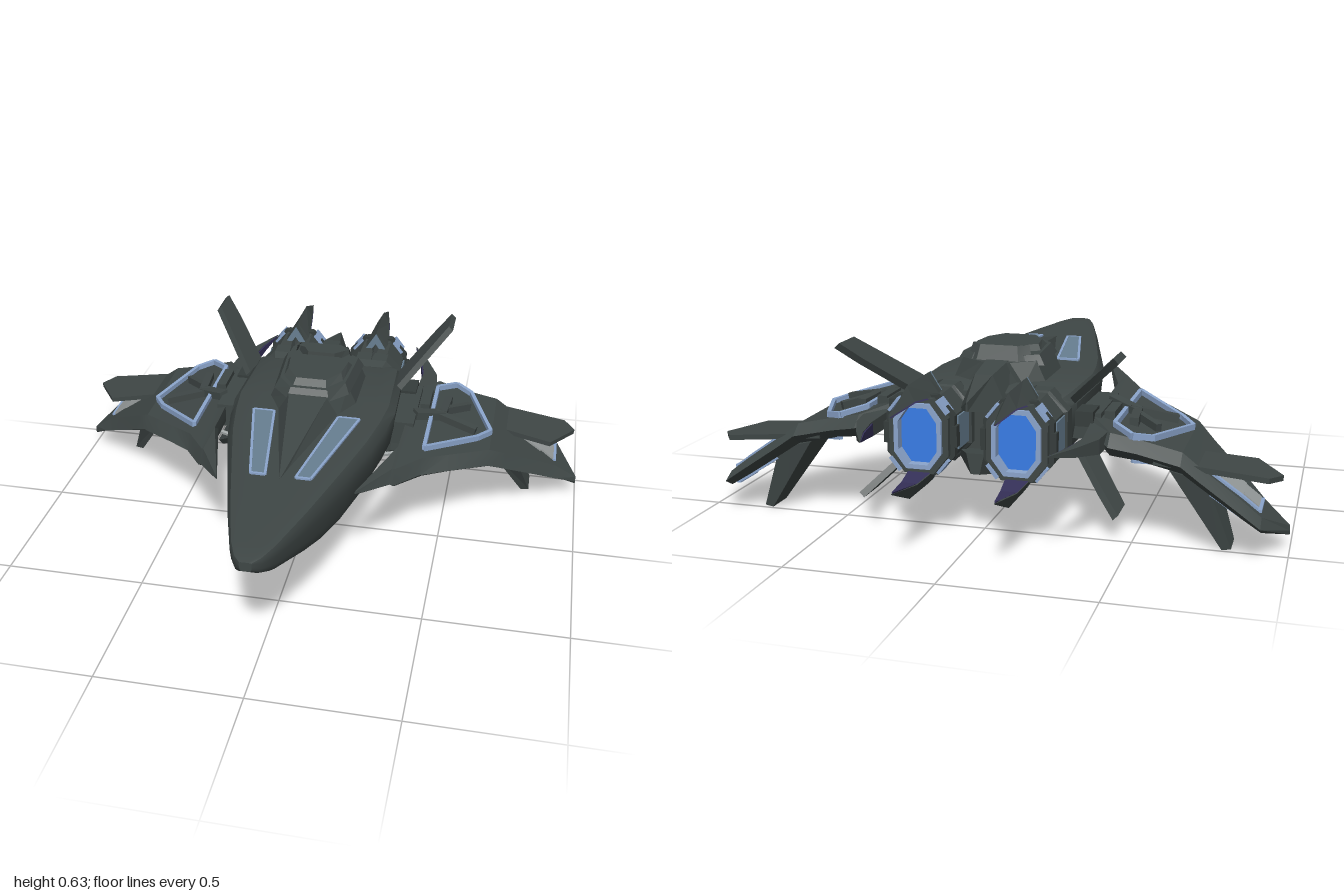
import * as THREE from 'three';
import { toCreasedNormals } from 'three/addons/utils/BufferGeometryUtils.js';

const mat = (name, color) => {
  const m = new THREE.MeshStandardMaterial({ color });
  m.name = name;
  return m;
};
const V = (x, y, z) => new THREE.Vector3(x, y, z);

// Make triangles of a closed solid face outward, then set crisp or creased normals
function finish(geo, crease = 0.1) {
  const g = geo.index ? geo.toNonIndexed() : geo;
  const p = g.attributes.position, a = V(), b = V(), c = V(), o = V();
  o.fromBufferAttribute(p, 0);
  let vol = 0;
  for (let i = 0; i < p.count; i += 3) {
    a.fromBufferAttribute(p, i).sub(o);
    b.fromBufferAttribute(p, i + 1).sub(o);
    c.fromBufferAttribute(p, i + 2).sub(o);
    vol += a.dot(b.cross(c));
  }
  if (vol < 0) {
    for (let i = 0; i < p.count; i += 3) {
      b.fromBufferAttribute(p, i + 1);
      c.fromBufferAttribute(p, i + 2);
      p.setXYZ(i + 1, c.x, c.y, c.z);
      p.setXYZ(i + 2, b.x, b.y, b.z);
    }
  }
  g.deleteAttribute('normal');
  g.deleteAttribute('uv');
  return toCreasedNormals(g, crease);
}

// Closed solid through rings of equal point count
function loft(rings) {
  const n = rings[0].length, pos = rings.flat(2), idx = [];
  for (let r = 0; r < rings.length - 1; r++) {
    for (let i = 0; i < n; i++) {
      const j = (i + 1) % n, a = r * n + i, b = r * n + j;
      idx.push(a, b, b + n, a, b + n, a + n);
    }
  }
  const e = (rings.length - 1) * n;
  for (let i = 1; i < n - 1; i++) idx.push(0, i + 1, i, e, e + i, e + i + 1);
  const g = new THREE.BufferGeometry();
  g.setAttribute('position', new THREE.Float32BufferAttribute(pos, 3));
  g.setIndex(idx);
  return g;
}

// Flat polygon of given thickness in any plane
function plate(pts, depth, xAxis, yAxis, origin) {
  const s = new THREE.Shape(pts.map(([a, b]) => new THREE.Vector2(a, b)));
  const g = new THREE.ExtrudeGeometry(s, { depth, bevelEnabled: false });
  const z = xAxis.clone().cross(yAxis);
  return g.applyMatrix4(new THREE.Matrix4().makeBasis(xAxis, yAxis, z).setPosition(origin));
}
// Horizontal polygon given as x, z
const planPlate = (pts, y, depth, slope = 0) =>
  plate(pts.map(([x, z]) => [x, -z]), depth, V(1, slope, 0), V(0, 0, -1), V(0, y, 0));

const box = (x, y, z, w, h, d) => new THREE.BoxGeometry(w, h, d).translate(x, y, z);

// Bar running from a to b
function bar(a, b, w, h) {
  const m = new THREE.Matrix4().lookAt(a, b, V(0, 1, 0)).setPosition(a.clone().lerp(b, 0.5));
  return new THREE.BoxGeometry(w, h, a.distanceTo(b)).applyMatrix4(m);
}

export function createModel() {
  const root = new THREE.Group();
  const hullMat = mat('hull charcoal', 0x3f4746);
  const darkMat = mat('dark charcoal', 0x353c3b);
  const slateMat = mat('slate panel', 0x687f92);
  const trimMat = mat('pale blue trim', 0x8ba5cc);
  const glowMat = mat('engine blue', 0x3f8aff);
  const violetMat = mat('dark violet', 0x36315a);
  const greyMat = mat('light grey', 0x979c9c);

  const add = (name, geo, m, crease) => {
    const mesh = new THREE.Mesh(finish(geo, crease), m);
    mesh.name = name;
    root.add(mesh);
  };
  const pair = (name, geo, m, crease) => {
    add(name + 'Left', geo.clone(), m, crease);
    add(name + 'Right', geo.clone().scale(-1, 1, 1), m, crease);
  };

  // Fuselage: z, half width, top, bottom
  const half = [[0.45, 1], [0.75, 0.985], [0.92, 0.95], [1, 0.82], [0.99, 0.6], [0.95, 0.3], [0.87, 0.1], [0.66, 0]];
  const hull = [[0.928, 0.02, 0.485, 0.452], [0.9, 0.045, 0.489, 0.43], [0.83, 0.075, 0.49, 0.39],
    [0.63, 0.135, 0.49, 0.318], [0.5, 0.17, 0.49, 0.277], [0.35, 0.21, 0.49, 0.252], [0.15, 0.262, 0.49, 0.25],
    [0, 0.29, 0.49, 0.25], [-0.12, 0.305, 0.49, 0.25], [-0.42, 0.295, 0.49, 0.25], [-0.47, 0.27, 0.475, 0.265]];
  add('fuselage', loft(hull.map(([z, w, t, b]) => {
    const side = half.map(([u, v]) => [u * w, b + v * (t - b), z]);
    return [...side, ...side.map(([x, y, q]) => [-x, y, q]).reverse()];
  })), hullMat, 0.7);

  // Raised spine and belly keel: z, foot half width, ridge half width, foot, ridge
  const ridge = (list) => loft(list.map(([z, w, v, y0, y1]) => [[w, y0, z], [v, y1, z], [-v, y1, z], [-w, y0, z]]));
  add('spine', ridge([[0.46, 0.005, 0.002, 0.48, 0.491], [0, 0.115, 0.07, 0.48, 0.553], [-0.1, 0.165, 0.13, 0.48, 0.556],
    [-0.32, 0.165, 0.13, 0.48, 0.556], [-0.37, 0.1, 0.05, 0.48, 0.555]]), hullMat);
  add('tailSpine', ridge([[-0.33, 0.1, 0.04, 0.47, 0.56], [-0.5, 0.085, 0.03, 0.42, 0.54], [-0.68, 0.004, 0.002, 0.46, 0.49]]), hullMat);
  add('keel', ridge([[0.2, 0.05, 0.03, 0.27, 0.249], [-0.08, 0.13, 0.08, 0.27, 0.19], [-0.42, 0.13, 0.08, 0.27, 0.19],
    [-0.6, 0.03, 0.015, 0.3, 0.23]]), hullMat);

  // Canopy: faceted block with a rear housing
  const oct = (y, w, zf, zb) => [[w * 0.5, zf], [w * 0.9, zf - 0.07], [w, zb + 0.03], [w * 0.65, zb]]
    .flatMap((p, i, a) => (i < 3 ? [p] : [p, ...a.map(([x, z]) => [-x, z]).reverse()])).map(([x, z]) => [x, y, z]);
  add('canopyBase', loft([oct(0.54, 0.155, 0, -0.34), oct(0.575, 0.135, -0.02, -0.33)]), hullMat);
  add('canopyTop', loft([oct(0.57, 0.125, -0.03, -0.27), oct(0.595, 0.11, -0.06, -0.25)]), hullMat);
  add('canopyHousing', loft([oct(0.55, 0.115, -0.25, -0.35), oct(0.606, 0.1, -0.255, -0.33)]), hullMat);

  // Nose panels with trim, and belly panels
  const nose = [[0.118, 0.025], [0.195, 0.025], [0.103, 0.45], [0.052, 0.45]];
  pair('nosePanel', planPlate(nose, 0.487, 0.009), slateMat);
  nose.forEach(([x, z], i) => {
    const [x2, z2] = nose[(i + 1) % 4];
    pair('nosePanelTrim' + i, bar(V(x, 0.494, z), V(x2, 0.494, z2), 0.009, 0.007), trimMat);
  });
  pair('bellyPanel', planPlate([[0.12, 0.08], [0.17, 0.08], [0.195, -0.1], [0.195, -0.38], [0.11, -0.38]], 0.245, 0.008), slateMat);

  // Wings: x, front z, back z, top, thickness
  const stations = [[0.24, 0.39, 0.38, 0.42, 0.01], [0.34, 0.245, 0, 0.41, 0.06], [0.35, 0.235, -0.46, 0.405, 0.07],
    [0.43, 0.11, -0.58, 0.385, 0.075], [0.52, 0.035, -0.565, 0.365, 0.07], [0.66, -0.08, -0.57, 0.335, 0.07],
    [0.72, -0.14, -0.575, 0.29, 0.065], [0.85, -0.262, -0.585, 0.2, 0.06], [0.915, -0.322, -0.59, 0.15, 0.05],
    [0.997, -0.4, -0.415, 0.085, 0.03]];
  pair('wing', loft(stations.map(([x, f, b, y, t]) => {
    const i = Math.min(0.045, (f - b) * 0.35);
    return [[x, y - t * 0.6, f], [x, y, f - i], [x, y, b + i], [x, y - t * 0.5, b], [x, y - t, b + i], [x, y - t, f - i]];
  })), hullMat, 0.3);
  // Point on the wing: lift above the top skin, or under = 1 for the bottom skin
  const onWing = (x, z, lift, under = 0) => {
    const k = Math.max(1, stations.findIndex((s) => s[0] >= x)), a = stations[k - 1], b = stations[k];
    const u = (x - a[0]) / (b[0] - a[0]), mix = (i) => a[i] + (b[i] - a[i]) * u;
    return V(x, mix(3) - under * mix(4) + lift, z);
  };
  const trim = [[0.43, 0.01], [0.43, -0.46], [0.5, -0.53], [0.56, -0.49], [0.655, -0.24], [0.61, -0.17], [0.43, 0.01]];
  for (let i = 0; i < 6; i++) {
    pair('wingTrim' + i, bar(onWing(...trim[i], 0.008), onWing(...trim[i + 1], 0.008), 0.014, 0.022), trimMat);
    if (i > 1) pair('wingUnderTrim' + i, bar(onWing(...trim[i], -0.003, 1), onWing(...trim[i + 1], -0.003, 1), 0.014, 0.009), trimMat);
  }

  // Branched fittings on top of the wings
  [[0.37, -0.2, 0.47, -0.26, 0.04], [0.44, -0.25, 0.6, -0.21, 0.03], [0.47, -0.26, 0.48, -0.39, 0.03],
    [0.48, -0.3, 0.56, -0.38, 0.022], [0.4, -0.27, 0.4, -0.4, 0.035]].forEach(([x, z, x2, z2, w], i) =>
    pair('wingFitting' + i, bar(onWing(x, z, 0.012), onWing(x2, z2, 0.012), w, 0.03), hullMat));

  // Wing roots and curved braces underneath
  pair('wingRoot', box(0.325, 0.37, -0.27, 0.1, 0.09, 0.3), hullMat);
  pair('wingRootBlock', box(0.325, 0.4, -0.4, 0.06, 0.05, 0.1), darkMat);
  pair('wingBrace', new THREE.TubeGeometry(new THREE.CatmullRomCurve3(
    [V(0.26, 0.28, -0.1), V(0.36, 0.295, -0.12), V(0.47, 0.298, -0.16), V(0.57, 0.28, -0.2)]), 12, 0.009, 6), greyMat, 0.9);

  // Rear wing spikes with violet inner edge
  const quad = (z, x0, x1, y0, y1) => [[x0, y0, z], [x1, y0, z], [x1, y1, z], [x0, y1, z]];
  pair('wingSpike', loft([quad(-0.42, 0.345, 0.43, 0.335, 0.39), quad(-0.6, 0.357, 0.41, 0.33, 0.38),
    quad(-0.72, 0.336, 0.36, 0.35, 0.38), quad(-0.83, 0.299, 0.301, 0.377, 0.38)]), hullMat);
  pair('wingSpikeEdge', loft([quad(-0.6, 0.352, 0.358, 0.335, 0.376), quad(-0.72, 0.331, 0.337, 0.352, 0.378),
    quad(-0.82, 0.3, 0.304, 0.375, 0.379)]), violetMat);

  // Forked wing tips: upper blade, lower blade, and grilles on both skins
  pair('upperTipBlade', planPlate([[0.62, -0.37], [0.88, -0.325], [0.97, -0.46], [0.93, -0.52], [0.57, -0.55]], 0.36, 0.018, -0.115), hullMat);
  pair('lowerTipBlade', loft([
    [[0.62, 0.27, -0.3], [0.74, 0.24, -0.3], [0.74, 0.24, -0.52], [0.62, 0.27, -0.52]],
    [[0.79, 0.01, -0.39], [0.82, 0.015, -0.39], [0.82, 0.015, -0.49], [0.79, 0.01, -0.49]]]), hullMat);
  for (const under of [0, 1]) {
    const n = under ? 'under' : 'upper', l = under ? -0.003 : 0.003;
    [0.75, 0.85, 0.9].forEach((x, i, xs) => {
      if (i === 0) return;
      const w = i === 1 ? 0.12 : 0.1;
      pair(n + 'TipGrille' + i, bar(onWing(xs[i - 1], -0.44, l, under), onWing(x, -0.44, l, under), w, 0.009), greyMat);
      pair(n + 'TipTrim' + i, bar(onWing(xs[i - 1], -0.51, l, under), onWing(x, -0.51, l, under), 0.018, 0.0095), trimMat);
    });
    pair(n + 'TipTrimEnd', bar(onWing(0.905, -0.39, l, under), onWing(0.905, -0.518, l, under), 0.016, 0.009), trimMat);
  }

  // Four diagonal fins, the lower ones set further forward
  const fin = [[0, -0.29], [0.235, -0.5], [0.235, -0.62], [0.15, -0.565], [-0.02, -0.43]];
  for (const s of [1, -1]) {
    const c = Math.SQRT1_2;
    pair(s > 0 ? 'upperFin' : 'lowerFin',
      plate(fin, 0.024, V(c, s * c, 0), V(0, 0, 1), V(0.287, 0.37 + s * 0.107, s > 0 ? 0 : 0.12)), hullMat);
  }

  // Engines: tall octagonal nacelles with hollow nozzles
  const cx = 0.163, cy = 0.37;
  const ring8 = (w, h) => [[w, h * 0.5], [w * 0.5, h], [-w * 0.5, h], [-w, h * 0.5], [-w, -h * 0.5], [-w * 0.5, -h], [w * 0.5, -h], [w, -h * 0.5]];
  const nacelle = (list) => loft(list.map(([z, w, h]) => ring8(w, h).map(([x, y]) => [cx + x, cy + y, z])));
  const collar = (w, h, t, z, depth) => {
    const s = new THREE.Shape(ring8(w, h).map((p) => new THREE.Vector2(...p)));
    s.holes.push(new THREE.Path(ring8(w - t, h - t).map((p) => new THREE.Vector2(...p))));
    return new THREE.ExtrudeGeometry(s, { depth, bevelEnabled: false }).translate(cx, cy, z);
  };
  pair('nacelle', nacelle([[-0.4, 0.1, 0.12], [-0.44, 0.12, 0.13], [-0.5, 0.12, 0.13], [-0.51, 0.108, 0.125], [-0.62, 0.106, 0.122]]), hullMat);
  pair('nozzle', collar(0.1, 0.124, 0.022, -0.68, 0.07), hullMat);
  pair('nozzleBand', collar(0.115, 0.132, 0.03, -0.66, 0.025), darkMat);
  pair('nozzleLip', collar(0.08, 0.108, 0.015, -0.692, 0.06), trimMat);
  pair('engineGlow', nacelle([[-0.61, 0.07, 0.098], [-0.66, 0.068, 0.096]]), glowMat);
  for (const s of [1, -1]) {
    const side = s > 0 ? 'Outer' : 'Inner';
    pair('nacellePanel' + side, box(cx + s * 0.108, cy, -0.56, 0.0095, 0.11, 0.105), slateMat);
    pair('nozzleTooth' + side, box(cx + s * 0.115, cy, -0.65, 0.018, 0.07, 0.03), darkMat);

    // Pale plates on the slanted nozzle faces
    for (const v of [1, -1]) {
      const a = V(cx + s * 0.094, cy + v * 0.074, 0), b = V(cx + s * 0.06, cy + v * 0.117, 0);
      const along = b.clone().sub(a).normalize(), len = a.distanceTo(b);
      pair('nozzlePlate' + side + (v > 0 ? 'Top' : 'Bottom'),
        plate([[0, -0.685], [len, -0.685], [len, -0.625], [0, -0.625]], 0.0095, along, V(0, 0, s * v),
          a.clone().add(V(0, 0, s * v > 0 ? 0 : -1.31))), trimMat);
    }

    // Long spikes above and below each engine
    const tri = (z, w, inner, outer) => [[cx - w, cy + s * inner, z], [cx, cy + s * outer, z], [cx + w, cy + s * inner, z]];
    const n = s > 0 ? 'upper' : 'lower';
    pair(n + 'EngineSpike', loft([tri(-0.56, 0.043, 0.115, 0.184), tri(-0.6, 0.047, 0.118, 0.185), tri(-0.77, 0.026, 0.135, 0.183),
      tri(-0.92, 0.001, 0.12, 0.122)]), hullMat);
    pair(n + 'SpikeLining', loft([tri(-0.66, 0.041, 0.119, 0.135), tri(-0.77, 0.027, 0.13, 0.145), tri(-0.91, 0.003, 0.116, 0.122)]), violetMat);
    pair(n + 'SpikeFace', loft([tri(-0.553, 0.044, 0.113, 0.185), tri(-0.561, 0.044, 0.113, 0.185)]), slateMat);
    pair(n + 'SpikeRoot', loft([tri(-0.44, 0.012, 0.1, 0.132), tri(-0.56, 0.03, 0.1, 0.145)]), hullMat);
  }
  return root;
}
